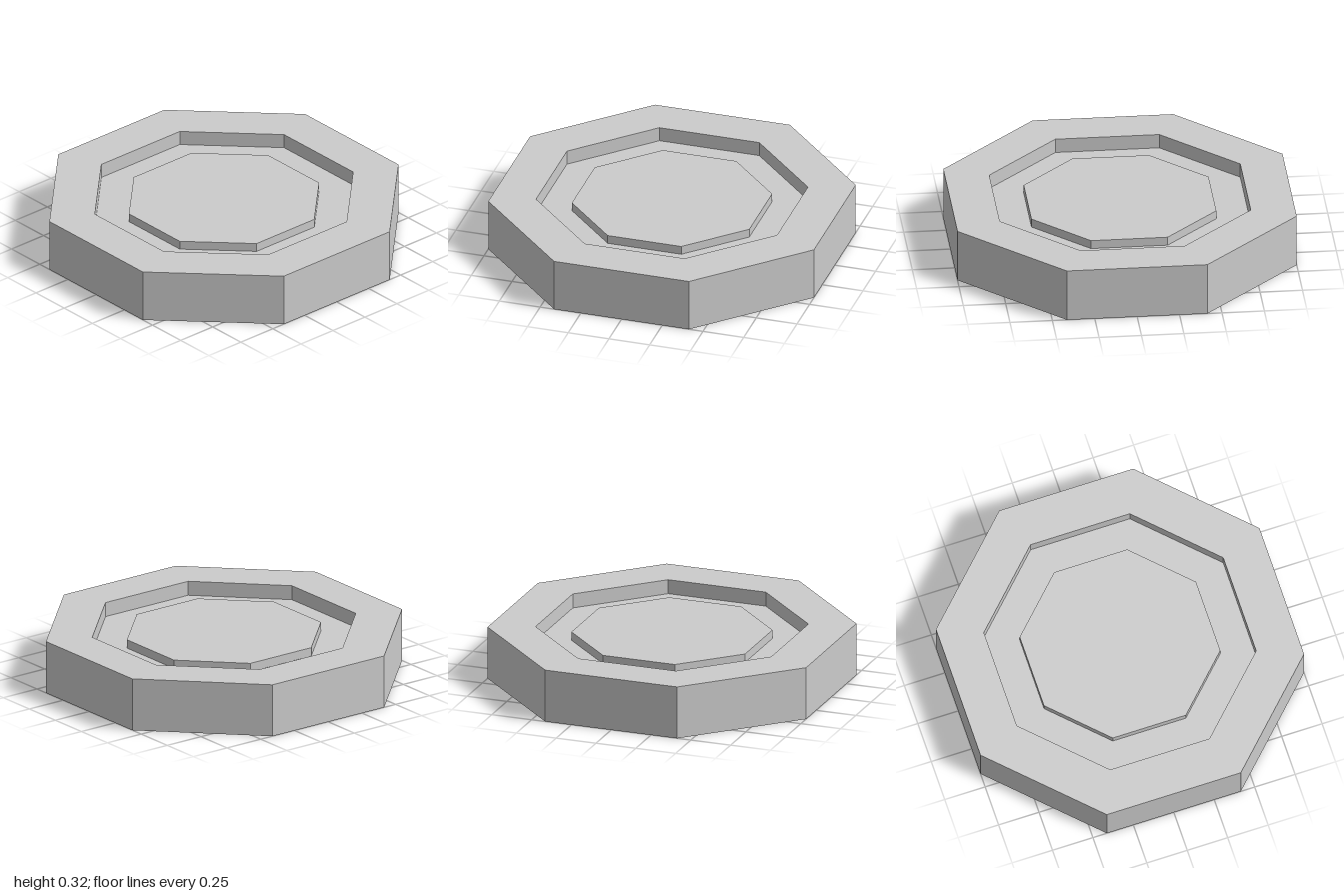
import * as THREE from 'three';

const H = 0.32;                           // overall height
const SIDES = 8;
const TO_CORNER = 1 / Math.cos(Math.PI / SIDES);
const RIM = 1, RECESS = 0.74, PANEL = 0.545; // half widths across flats
const FLOOR = 0.087, STEP = 0.035;        // depths below the rim faces

const material = new THREE.MeshStandardMaterial({ color: 0xcccccc, flatShading: true });

// Octagonal solid from a profile of [half width, y], flats facing the axes
function octagon(name, profile) {
  const points = profile.map(([w, y]) => new THREE.Vector2(w * TO_CORNER, y));
  const mesh = new THREE.Mesh(
    new THREE.LatheGeometry(points, SIDES, Math.PI / SIDES), material);
  mesh.name = name;
  return mesh;
}

export function createModel() {
  const group = new THREE.Group();
  group.name = 'octagonalDisc';

  // Thick outer rim with the walls of both recesses
  group.add(octagon('rim', [
    [RECESS, FLOOR], [RECESS, 0], [RIM, 0],
    [RIM, H], [RECESS, H], [RECESS, H - FLOOR],
  ]));

  // Recess floor and raised panel, the same above and below
  group.add(octagon('lowerPanel', [
    [0, STEP], [PANEL, STEP], [PANEL, FLOOR], [RECESS, FLOOR],
  ]));
  group.add(octagon('upperPanel', [
    [RECESS, H - FLOOR], [PANEL, H - FLOOR], [PANEL, H - STEP], [0, H - STEP],
  ]));

  return group;
}
